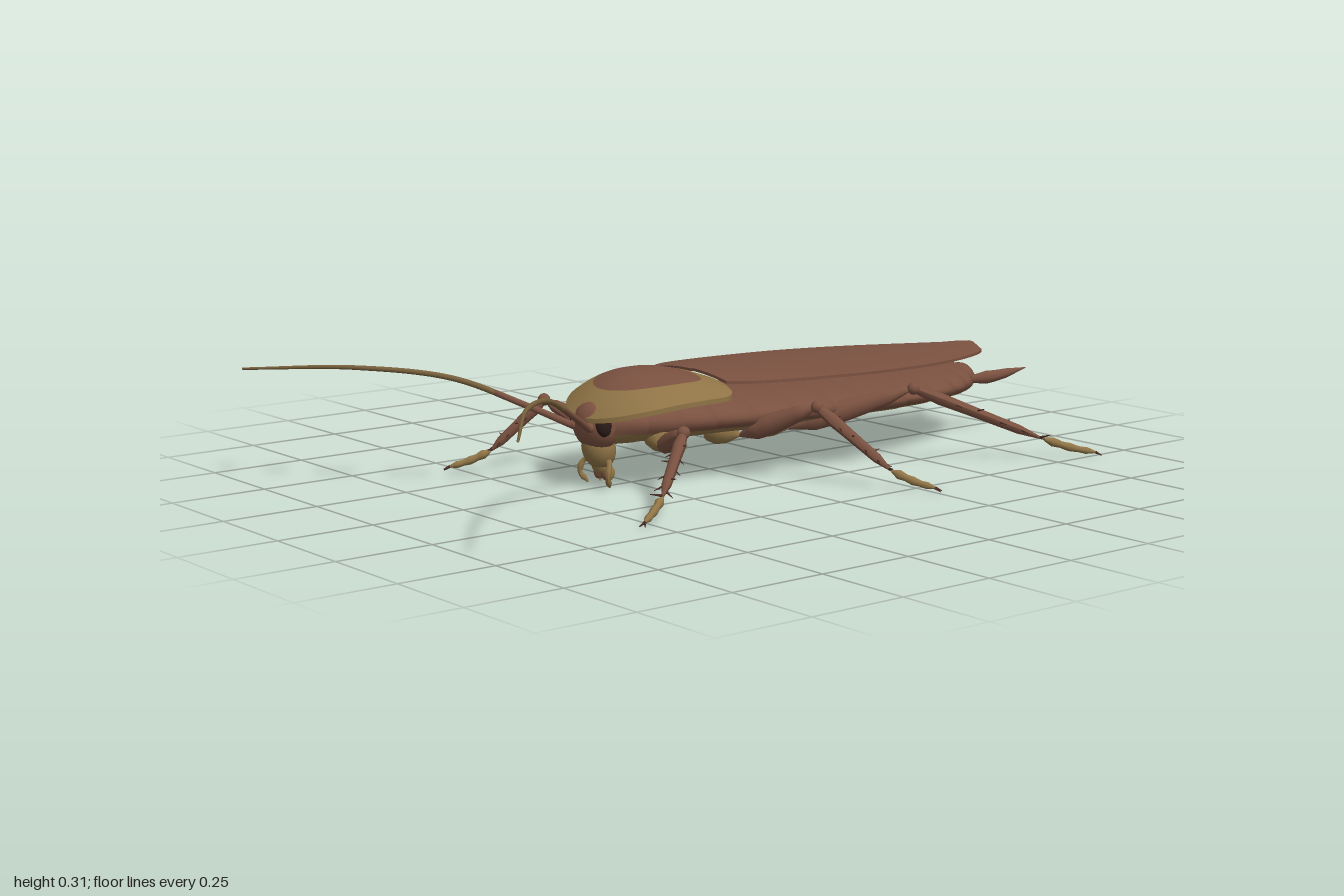
import * as THREE from 'three';

const mat = (name, color) =>
  new THREE.MeshStandardMaterial({ name, color, side: THREE.DoubleSide });
const BROWN = mat('chestnut brown', 0x7a5140);
const TAN = mat('tan', 0x8f7446);
const DARK = mat('dark brown', 0x4a2e25);
const EYE = mat('eye black', 0x2c1c18);
const ANTENNA = mat('antenna olive', 0x77603c);

const V = (x, y, z) => new THREE.Vector3(x, y, z);
const lerp = THREE.MathUtils.lerp;

function add(parent, name, geometry, material) {
  const mesh = new THREE.Mesh(geometry, material);
  mesh.name = name;
  parent.add(mesh);
  return mesh;
}

// Surface through the points fn(u, v), with u and v from 0 to 1
function grid(nu, nv, fn) {
  const pos = [], index = [];
  for (let j = 0; j <= nv; j++) {
    for (let i = 0; i <= nu; i++) {
      const p = fn(i / nu, j / nv);
      pos.push(p.x, p.y, p.z);
      if (i < nu && j < nv) {
        const a = j * (nu + 1) + i, b = a + nu + 1;
        index.push(a, a + 1, b, a + 1, b + 1, b);
      }
    }
  }
  const g = new THREE.BufferGeometry();
  g.setAttribute('position', new THREE.Float32BufferAttribute(pos, 3));
  g.setIndex(index);
  g.computeVertexNormals();
  return g;
}

// Tube whose radius follows a list of values along its length
function taperedTube(points, radii, steps = 20, sides = 8) {
  const curve = new THREE.CatmullRomCurve3(points);
  const frames = curve.computeFrenetFrames(steps);
  return grid(sides, steps, (u, v) => {
    const k = v * (radii.length - 1), i = Math.min(Math.floor(k), radii.length - 2);
    const r = lerp(radii[i], radii[i + 1], k - i), a = u * Math.PI * 2;
    const n = Math.round(v * steps);
    return curve.getPointAt(v)
      .addScaledVector(frames.normals[n], -r * Math.cos(a))
      .addScaledVector(frames.binormals[n], r * Math.sin(a));
  });
}

function ellipsoid(parent, name, material, center, size, tilt = 0) {
  const m = add(parent, name, new THREE.SphereGeometry(1, 20, 14), material);
  m.position.copy(center);
  m.scale.copy(size);
  m.rotation.x = tilt;
  return m;
}

// Thorax and abdomen: overlapping rings, brown plates above, tan below
function buildBody() {
  const body = new THREE.Group();
  body.name = 'body';
  const width = new THREE.SplineCurve([[0.35, 0.07], [0.22, 0.13], [0.08, 0.165], [-0.12, 0.195],
    [-0.3, 0.21], [-0.5, 0.208], [-0.68, 0.172], [-0.8, 0.12], [-0.89, 0.05]].map(p => new THREE.Vector2(...p)));
  const count = 13;
  for (let s = 0; s < count; s++) {
    const section = (a, v) => {
      const t = (s + Math.min(v, 0.75) / 0.75) / count;
      const p = width.getPoint(t);
      const lip = v > 0.76 ? 0.85 : 1 + 0.03 * v;
      const top = lerp(0.06, 0.035, t) * Math.min(1, 0.6 + t * 3), low = lerp(0.058, 0.04, t);
      const y = lerp(0.17, 0.15, t) + Math.sin(a) * (a > 0 && a < Math.PI ? top : low) * lip;
      return V(Math.cos(a) * p.y * lip, y, p.x);
    };
    const edge = 0.45;
    add(body, 'backPlate', grid(24, 4, (u, v) => section(lerp(-edge, Math.PI + edge, u), v)), BROWN);
    add(body, 'bellyPlate', grid(18, 4, (u, v) => section(lerp(Math.PI + edge, 2 * Math.PI - edge, u), v)), TAN);
  }
  ellipsoid(body, 'tailTip', BROWN, V(0, 0.15, -0.875), V(0.06, 0.03, 0.035));
  return body;
}

// Shield over the thorax: a dome with a brown centre
function buildShield() {
  const shield = new THREE.Group();
  shield.name = 'shield';
  const pow = v => Math.sign(v) * Math.abs(v) ** 0.45;
  const point = (u, rho, drop = 0) => {
    const a = u * Math.PI * 2, c = Math.cos(a), s = Math.sin(a);
    const x = 0.205 * (s > 0 ? c : pow(c));
    const z = s > 0 ? 0.17 + 0.235 * s : 0.17 + 0.115 * pow(s);
    const arch = s < 0 ? -0.03 * pow(s) * (1 - (x / 0.205) ** 2) : 0;
    const edge = 0.232 + arch - (s > 0 ? 0.045 * s * s : 0);
    return V(x * rho, lerp(0.287, edge, rho ** 2.2) - drop, 0.21 + (z - 0.21) * rho);
  };
  const patch = 0.65;
  add(shield, 'shieldPatch', grid(56, 8, (u, v) => point(u, v * patch)), BROWN);
  add(shield, 'shieldBorder', grid(56, 8, (u, v) => point(u, lerp(patch, 1, v))), TAN);
  add(shield, 'shieldRim', grid(56, 1, (u, v) => point(u, 1, v * 0.012)), TAN);
  add(shield, 'shieldUnderside', grid(56, 8, (u, v) => point(u, v, 0.012)), TAN);
  return shield;
}

// Two long folded wings, the left one lapping over the right
function buildWings() {
  const wings = new THREE.Group();
  wings.name = 'wings';
  const outline = new THREE.SplineCurve([[0.068, 0.15], [0, 0.185], [-0.15, 0.207], [-0.38, 0.214],
    [-0.58, 0.192], [-0.72, 0.155], [-0.84, 0.105], [-0.9, 0.065], [-0.92, 0.035]].map(p => new THREE.Vector2(...p)));
  for (const side of [1, -1]) {
    const lift = side > 0 ? 0.002 : 0;
    const point = (u, v, drop) => {
      const p = outline.getPoint(v), t = (0.068 - p.x) / 0.988;
      const x = lerp(side > 0 ? -0.02 : 0.01, side * p.y, u);
      return V(x, lerp(0.258, 0.227, t) + 0.015 * (1 - (x / p.y) ** 2) + lift - drop, p.x);
    };
    add(wings, 'wingTop', grid(10, 40, (u, v) => point(u, v, 0)), BROWN);
    add(wings, 'wingUnderside', grid(10, 40, (u, v) => point(u, v, 0.007)), DARK);
    add(wings, 'wingEdge', grid(1, 40, (u, v) => point(1, v, u * 0.007)), BROWN);
    add(wings, 'wingTip', grid(10, 1, (u, v) => point(u, 1, v * 0.007)), BROWN);
  }
  return wings;
}

// Leg through its joints: hip, trochanter, knee, ankle, toe
function buildLeg(name, side, [hip, joint, knee, ankle, toe], thick) {
  const leg = new THREE.Group();
  leg.name = name;
  add(leg, 'coxa', taperedTube([hip, hip.clone().lerp(joint, 0.5), joint], [0.005, 0.04, 0.042, 0.03, 0.004], 14, 12), TAN);
  add(leg, 'thigh', taperedTube([joint, knee], [0.004, thick, thick * 1.1, thick * 0.95, thick * 0.75, 0.002], 20, 10), BROWN);
  ellipsoid(leg, 'knee', BROWN, knee, V(0.016, 0.016, 0.016));
  add(leg, 'shin', taperedTube([knee, ankle], [0.01, 0.016, 0.014, 0.013, 0.012, 0.002], 15), BROWN);
  add(leg, 'foot', taperedTube([ankle, ankle.clone().lerp(toe, 0.55).add(V(0, -0.004, 0)), toe],
    [0.004, 0.012, 0.009, 0.011, 0.008, 0.009, 0.003], 18), TAN);
  const along = toe.clone().sub(ankle).normalize();
  for (const s of [-1, 1]) {
    const claw = V(along.x - s * along.z * 0.5, -0.5, along.z + s * along.x * 0.5).multiplyScalar(0.016);
    add(leg, 'claw', taperedTube([toe, toe.clone().add(claw)], [0.004, 0.001], 2, 5), DARK);
  }
  // Spines in alternating rows down the shin
  const dir = ankle.clone().sub(knee).normalize();
  const out = V(-dir.z, 0, dir.x).normalize();
  for (let i = 0; i < 10; i++) {
    const base = knee.clone().lerp(ankle, 0.2 + i * 0.085);
    const tip = base.clone().addScaledVector(dir, 0.02).addScaledVector(out, i % 2 ? 0.026 : -0.026);
    tip.y += i % 3 === 0 ? 0.018 : 0;
    add(leg, 'spine', taperedTube([base, tip], [0.004, 0.0008], 2, 5), DARK);
  }
  leg.scale.x = side;
  return leg;
}

// Head hanging below the shield, with eyes and mouthparts
function buildHead() {
  const head = new THREE.Group();
  head.name = 'head';
  ellipsoid(head, 'skull', BROWN, V(0, 0.16, 0.36), V(0.068, 0.062, 0.048), 0.25);
  ellipsoid(head, 'face', TAN, V(0, 0.105, 0.35), V(0.046, 0.055, 0.04), 0.25);
  ellipsoid(head, 'upperLip', TAN, V(0, 0.062, 0.345), V(0.026, 0.028, 0.02), 0.25);
  ellipsoid(head, 'neck', TAN, V(0, 0.16, 0.29), V(0.06, 0.045, 0.06));
  for (const s of [-1, 1]) {
    ellipsoid(head, 'eye', EYE, V(s * 0.052, 0.168, 0.372), V(0.018, 0.03, 0.022), 0.25);
    ellipsoid(head, 'mandible', BROWN, V(s * 0.015, 0.043, 0.338), V(0.013, 0.02, 0.014));
    add(head, 'outerPalp', taperedTube([V(s * 0.025, 0.075, 0.34), V(s * 0.05, 0.07, 0.355), V(s * 0.058, 0.04, 0.365),
      V(s * 0.044, 0.012, 0.35)], [0.004, 0.008, 0.006, 0.008, 0.006, 0.008, 0.002], 18), TAN);
    add(head, 'innerPalp', taperedTube([V(s * 0.012, 0.06, 0.325), V(s * 0.022, 0.04, 0.325),
      V(s * 0.014, 0.018, 0.335)], [0.004, 0.007, 0.006, 0.002], 9), TAN);
    ellipsoid(head, 'antennaSocket', BROWN, V(s * 0.032, 0.165, 0.4), V(0.013, 0.013, 0.014));
    // Antenna: brown root, then a long sweeping whip
    const path = new THREE.CatmullRomCurve3([V(0.03, 0.16, 0.4), V(0.1, 0.215, 0.5), V(0.2, 0.282, 0.64),
      V(0.36, 0.306, 0.815), V(0.59, 0.293, 1)].map(p => p.setX(p.x * s)));
    const pts = path.getSpacedPoints(24);
    add(head, 'antennaRoot', taperedTube(pts.slice(0, 7), [0.009, 0.0075], 14), BROWN);
    add(head, 'antennaWhip', taperedTube(pts.slice(6), [0.0075, 0.006, 0.003], 36), ANTENNA);
  }
  return head;
}

export function createModel() {
  const model = new THREE.Group();
  model.name = 'cockroach';
  model.add(buildBody(), buildShield(), buildWings(), buildHead());
  const legs = {
    frontLeg: [[V(0.05, 0.15, 0.2), V(0.12, 0.11, 0.25), V(0.285, 0.18, 0.31), V(0.355, 0.05, 0.43), V(0.405, 0.014, 0.52)], 0.022],
    middleLeg: [[V(0.04, 0.14, 0.06), V(0.12, 0.11, 0.0), V(0.31, 0.2, -0.09), V(0.47, 0.05, -0.195), V(0.555, 0.014, -0.26)], 0.025],
    hindLeg: [[V(0.04, 0.14, -0.08), V(0.12, 0.11, -0.16), V(0.305, 0.208, -0.42), V(0.44, 0.055, -0.76), V(0.5, 0.014, -0.89)], 0.027],
  };
  for (const side of [1, -1]) {
    for (const [name, [joints, thick]] of Object.entries(legs)) model.add(buildLeg(name, side, joints, thick));
    // Tail feelers
    add(model, 'cercus', taperedTube([V(side * 0.06, 0.15, -0.85), V(side * 0.095, 0.158, -0.92), V(side * 0.135, 0.178, -1)],
      [0.008, 0.018, 0.013, 0.001], 12), BROWN);
    add(model, 'stylus', taperedTube([V(side * 0.025, 0.14, -0.88), V(side * 0.03, 0.135, -0.92)], [0.006, 0.001], 4), DARK);
  }
  return model;
}
